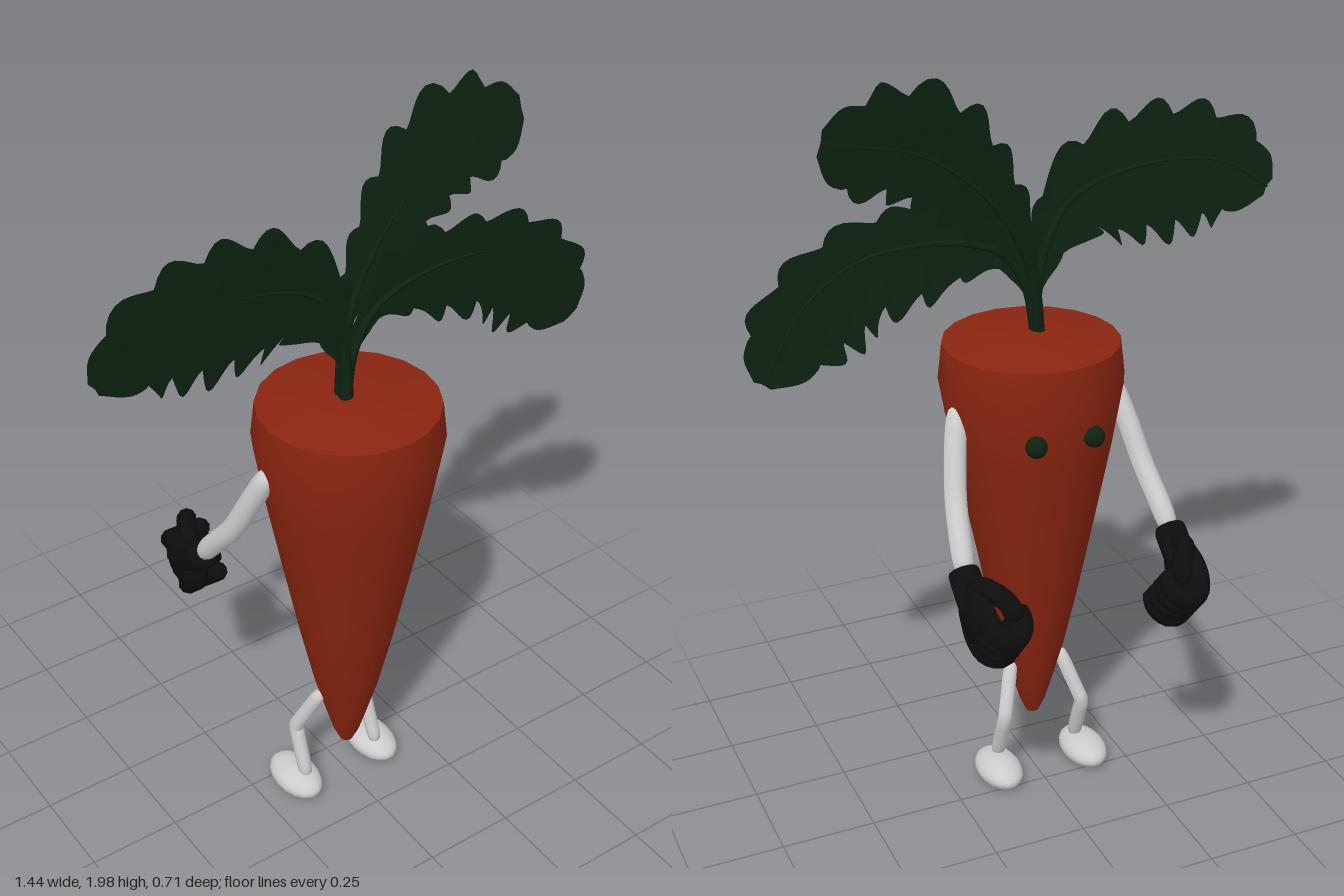
import * as THREE from 'three';
import { toCreasedNormals } from 'three/addons/utils/BufferGeometryUtils.js';

const V = (x, y, z) => new THREE.Vector3(x, y, z);
const mat = (color, side = THREE.FrontSide) => new THREE.MeshStandardMaterial({ color, side });
const orange = mat(0x8a2510), green = mat(0x0d2311), leafGreen = mat(0x0d2311, THREE.DoubleSide);
const black = mat(0x0d0d0d), grey = mat(0xcccccc);
const CX = -0.015, CZ = 0.12; // body axis

function part(name, geometry, material, parent) {
  const mesh = new THREE.Mesh(geometry, material);
  mesh.name = name;
  parent.add(mesh);
  return mesh;
}

// Tube along a curve whose radius follows radiusAt(t)
function taperedTube(curve, radiusAt, segments = 16, sides = 10) {
  const geo = new THREE.TubeGeometry(curve, segments, 1, sides);
  const pos = geo.attributes.position, p = V(0, 0, 0);
  for (let i = 0; i < pos.count; i++) {
    const t = Math.floor(i / (sides + 1)) / segments;
    const c = curve.getPointAt(t);
    p.fromBufferAttribute(pos, i).sub(c).multiplyScalar(radiusAt(t)).add(c);
    pos.setXYZ(i, p.x, p.y, p.z);
  }
  geo.computeVertexNormals();
  return geo;
}
const rounded = (r) => (t) => r * Math.sqrt(Math.max(0, 1 - Math.pow(2 * t - 1, 10)));

// Lobed leaf: midrib points in the xy plane, half widths (hundredths) at even
// steps on either side, and a plane z = z0 + lean * (y - 1.3)
function addLeaf(parent, name, rib, left, right, z0, lean) {
  const group = new THREE.Group();
  group.name = name;
  const zAt = (y) => z0 + lean * (y - 1.3);
  const curve = new THREE.CatmullRomCurve3(rib.map(([x, y]) => V(x, y, zAt(y))));
  const N = 72, LOBES = 9, verts = [], index = [];
  const widthAt = (list, t) => {
    const f = t * (list.length - 1), i = Math.min(Math.floor(f), list.length - 2);
    const w = THREE.MathUtils.lerp(list[i], list[i + 1], f - i) / 100;
    return w * (0.78 + 0.3 * Math.sin(Math.PI * Math.pow((t * LOBES) % 1, 1.5)));
  };
  for (let i = 0; i <= N; i++) {
    const t = i / N, p = curve.getPointAt(t), d = curve.getTangentAt(t);
    const a = widthAt(left, t), b = widthAt(right, t), sweep = 0.15;
    const edge = (w, s) => {
      const y = p.y + s * d.x * w + d.y * w * sweep;
      verts.push(p.x - s * d.y * w + d.x * w * sweep, y, zAt(y));
    };
    edge(a, 1);
    verts.push(p.x, p.y, p.z + 0.004);
    edge(b, -1);
    if (i < N) for (const k of [3 * i, 3 * i + 1]) index.push(k, k + 3, k + 1, k + 1, k + 3, k + 4);
  }
  const geo = new THREE.BufferGeometry();
  geo.setAttribute('position', new THREE.Float32BufferAttribute(verts, 3));
  geo.setIndex(index);
  geo.computeVertexNormals();
  part('leafBlade', geo, leafGreen, group);
  part('leafStem', taperedTube(curve, (t) => 0.003 + 0.017 * Math.pow(1 - t, 2.5), 32, 8), green, group);
  parent.add(group);
}

// Mitten hand with four curled fingers; "d" runs forward from the wrist,
// "u" across the knuckles, "inward" toward the body
function addGlove(parent, s, wrist) {
  const group = new THREE.Group();
  group.name = s > 0 ? 'leftGlove' : 'rightGlove';
  const U = V(0, 0.76, -0.65), D = V(0, -0.65, -0.76);
  const at = (inward, u, d) => wrist.clone().addScaledVector(U, u).addScaledVector(D, d).add(V(-s * inward, 0, 0));
  const path = (pts) => new THREE.CatmullRomCurve3(pts.map((p) => at(...p)));

  part('cuff', taperedTube(path([[0, 0, -0.03], [0, 0, 0.03], [0, 0, 0.1]]), (t) => 0.042 * rounded(1)(t)), black, group);
  const palm = part('palm', new THREE.SphereGeometry(1, 18, 12), black, group);
  palm.scale.set(0.038, 0.088, 0.085);
  palm.position.copy(at(0, 0, 0.1));
  palm.rotation.x = Math.atan2(-0.65, 0.76);
  for (let i = 0; i < 4; i++) {
    const u = -0.063 + i * 0.042;
    part('finger', taperedTube(path([
      [0, u * 0.8, 0.06], [0, u, 0.14], [0.015, u, 0.185], [0.05, u, 0.2], [0.08, u, 0.17], [0.082, u, 0.11],
    ]), rounded(0.028), 20), black, group);
  }
  part('thumb', taperedTube(path([[0.0, 0.03, 0.03], [0.02, 0.085, 0.07], [0.05, 0.1, 0.12], [0.06, 0.085, 0.165]]),
    rounded(0.026)), black, group);
  parent.add(group);
}

export function createModel() {
  const model = new THREE.Group();
  model.name = 'walkingCarrot';

  // Body: tapered root with a bevelled, shallow domed top
  const profile = [[0, 0.155], [0.018, 0.162], [0.035, 0.2], [0.058, 0.28], [0.088, 0.39], [0.125, 0.56],
    [0.172, 0.8], [0.21, 1.0], [0.239, 1.175], [0.228, 1.27], [0.12, 1.285], [0, 1.3]];
  const bodyGeo = new THREE.LatheGeometry(profile.map(([r, y]) => new THREE.Vector2(r, y)), 20);
  part('body', toCreasedNormals(bodyGeo, 0.6), orange, model).position.set(CX, 0, CZ);

  // Eyes
  for (const x of [-0.09, 0.067])
    part('eye', new THREE.SphereGeometry(0.028, 14, 10), green, model).position.set(x, 1.077, -0.097);

  // Leaves
  addLeaf(model, 'rightLeaf',
    [[-0.03, 1.28], [-0.04, 1.42], [-0.075, 1.525], [-0.125, 1.605], [-0.225, 1.655], [-0.41, 1.68], [-0.57, 1.655], [-0.695, 1.575]],
    [1.5, 1.6, 5, 13, 17.5, 19, 21, 20, 17.5, 14, 3], [1.5, 1.6, 3, 7, 12, 15, 15, 14.5, 13, 10, 3], 0.13, 0.05);
  addLeaf(model, 'upperLeaf',
    [[-0.03, 1.28], [-0.01, 1.445], [0.05, 1.575], [0.16, 1.71], [0.3, 1.805], [0.42, 1.835], [0.53, 1.86]],
    [1.5, 1.6, 2, 6, 8, 11, 15, 17, 16.5, 12, 4], [1.5, 1.6, 2, 5, 10, 12, 12, 13, 12, 13, 4], 0.11, -0.11);
  addLeaf(model, 'leftLeaf',
    [[-0.03, 1.28], [0, 1.42], [0.065, 1.51], [0.17, 1.55], [0.3, 1.56], [0.435, 1.54], [0.565, 1.455], [0.685, 1.27]],
    [1.5, 1.6, 3, 11, 11, 10, 10, 10.5, 11, 10.5, 3], [1.5, 1.6, 3, 9, 15, 17, 18, 20, 17.5, 14, 3], 0.117, 0.01);

  // Limbs, mirrored about the body axis
  for (const s of [1, -1]) {
    const side = s > 0 ? 'left' : 'right';
    const P = (x, y, z) => V(CX + s * x, y, z);

    const wrist = P(0.287, 0.77, -0.125);
    const arm = new THREE.CatmullRomCurve3([P(0.212, 1.14, 0.1), P(0.24, 1.03, 0.05), P(0.262, 0.92, -0.005),
      P(0.277, 0.84, -0.07), wrist]);
    part(side + 'Arm', taperedTube(arm, rounded(0.029), 24, 12), grey, model);
    addGlove(model, s, wrist);

    const leg = new THREE.CurvePath();
    const hip = P(0.068, 0.355, 0.105), knee = P(0.115, 0.205, 0.042), ankle = P(0.117, 0.05, 0.1);
    leg.add(new THREE.LineCurve3(hip, knee));
    leg.add(new THREE.LineCurve3(knee, ankle));
    part(side + 'Leg', taperedTube(leg, rounded(0.02), 20, 10), grey, model);

    // Foot: oval with a flattened sole
    const footGeo = new THREE.SphereGeometry(1, 18, 14);
    const pos = footGeo.attributes.position;
    for (let i = 0; i < pos.count; i++) pos.setY(i, Math.max(pos.getY(i), -0.75));
    footGeo.scale(0.06, 0.038, 0.096);
    footGeo.computeVertexNormals();
    part(side + 'Foot', footGeo, grey, model).position.copy(P(0.128, 0.0285 + 0.008, 0.06));
  }
  return model;
}
